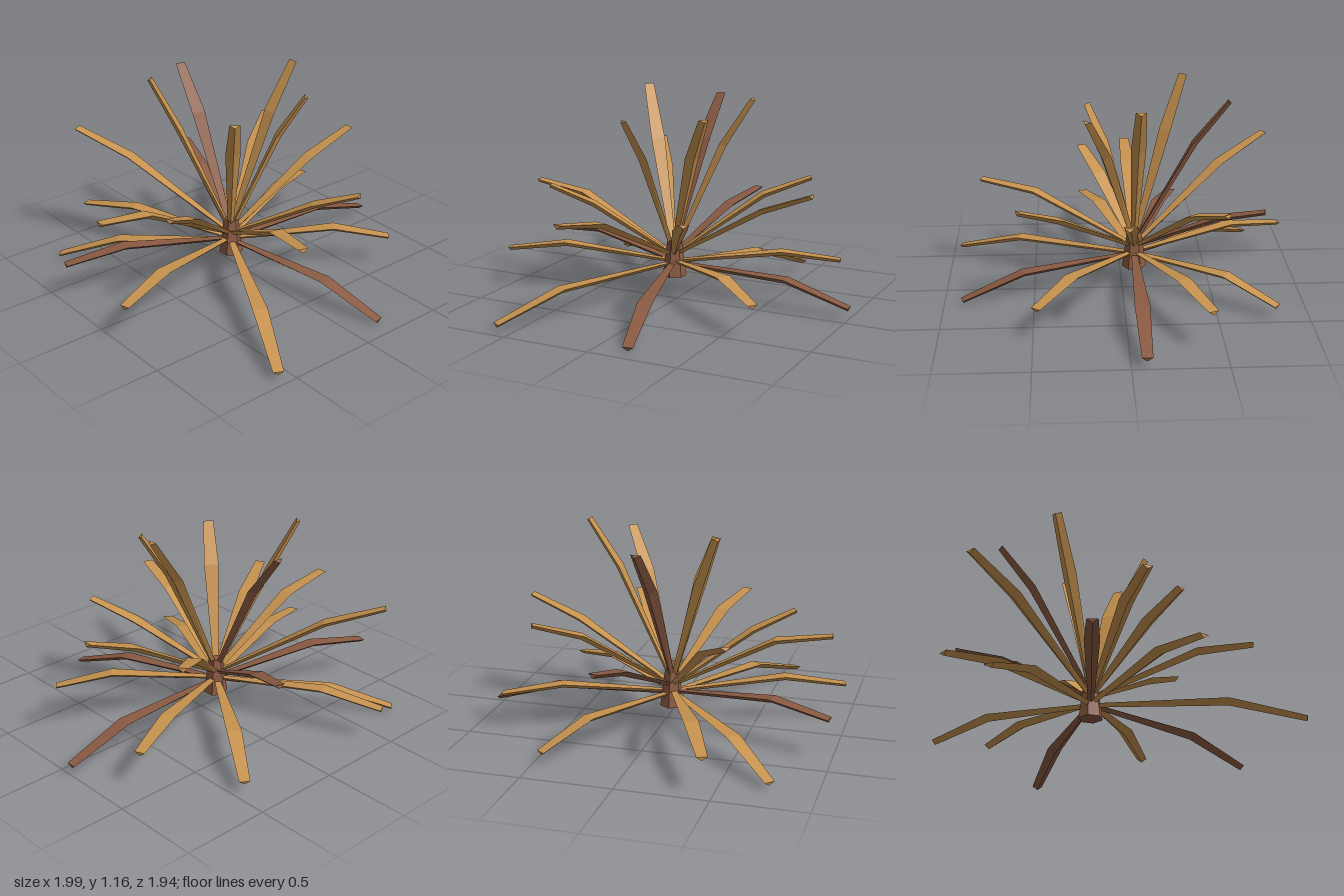
import * as THREE from 'three';

const CX = -0.055, CZ = -0.07; // plant axis

// Leaves by tier: [tipX, tipZ, midY, tipY, brown]
const TIERS = {
  upperLeaf: { baseY: 0.27, mid: 0.64, leaves: [
    [-0.37, -0.37, 0.86, 1.16], [-0.235, 0.195, 0.81, 1.03], [0.26, 0.2, 0.84, 1.07],
    [0.42, -0.08, 0.9, 1.16], [0, -0.59, 0.86, 1.1, true],
  ] },
  middleLeaf: { baseY: 0.24, mid: 0.65, leaves: [
    [-0.54, -0.87, 0.62, 0.75], [-0.94, -0.055, 0.54, 0.59], [-0.69, 0.22, 0.53, 0.635],
    [-0.29, 0.8, 0.52, 0.57], [0.325, 0.575, 0.49, 0.59], [0.8, 0, 0.56, 0.675],
    [0.6, -0.52, 0.57, 0.66], [0.17, -0.78, 0.45, 0.51, true],
  ] },
  lowerLeaf: { baseY: 0.2, mid: 0.65, leaves: [
    [-0.45, -0.96, 0.255, 0.205], [-0.98, -0.355, 0.275, 0.23, true], [-0.985, 0.21, 0.275, 0.23],
    [0.67, 0.48, 0.25, 0.185], [0.82, -0.43, 0.26, 0.22],
  ] },
  droopingLeaf: { baseY: 0.19, mid: 0.65, leaves: [
    [-0.755, -0.79, 0.15, 0.035], [-0.58, 0.95, 0.16, 0.04], [0.175, 0.9, 0.14, 0.016, true],
    [0.995, -0.08, 0.17, 0.058, true], [0.45, -0.82, 0.18, 0.07],
  ] },
};

// Bent blade with a flat top and a keel underneath
function leafGeometry(tipX, tipZ, baseY, midY, tipY, midFraction) {
  const d = new THREE.Vector3(tipX - CX, 0, tipZ - CZ);
  const reach = d.length();
  d.normalize();
  const side = new THREE.Vector3(d.z, 0, -d.x);
  const at = (r, y) => new THREE.Vector3(CX + d.x * r, y, CZ + d.z * r);
  const path = [at(0.01, baseY), at(reach * midFraction, midY), at(reach, tipY)];
  const halfWidths = [0.016, 0.041, 0.029];
  const depths = [0.018, 0.03, 0.022];

  const rings = path.map((p, i) => {
    const tangent = path[Math.min(i + 1, 2)].clone().sub(path[Math.max(i - 1, 0)]).normalize();
    const normal = new THREE.Vector3().crossVectors(tangent, side);
    const point = (w, h) => p.clone().addScaledVector(side, w).addScaledVector(normal, h);
    const top = depths[i] * 0.4;
    return [point(halfWidths[i], top), point(-halfWidths[i], top), point(0, top - depths[i])];
  });

  const pts = [];
  for (let k = 0; k < 2; k++) {
    const a = rings[k], b = rings[k + 1];
    for (let i = 0; i < 3; i++) {
      const j = (i + 1) % 3;
      pts.push(a[i], a[j], b[j], a[i], b[j], b[i]);
    }
  }
  pts.push(...rings[2], ...rings[0].slice().reverse());
  const geometry = new THREE.BufferGeometry().setFromPoints(pts);
  geometry.computeVertexNormals();
  return geometry;
}

export function createModel() {
  const group = new THREE.Group();
  group.name = 'spikyPlant';
  const gold = new THREE.MeshStandardMaterial({ color: 0xc6924f, flatShading: true });
  const brown = new THREE.MeshStandardMaterial({ color: 0x8a5a42, flatShading: true });

  // Tapered six-sided stem
  const stem = new THREE.Mesh(new THREE.CylinderGeometry(0.04, 0.068, 0.21, 6), brown);
  stem.name = 'stem';
  stem.position.set(CX + 0.005, 0.22, CZ);
  group.add(stem);

  // Leaves, tier by tier
  for (const [name, { baseY, mid, leaves }] of Object.entries(TIERS)) {
    const tier = new THREE.Group();
    tier.name = name + 'Tier';
    leaves.forEach(([x, z, midY, tipY, isBrown], i) => {
      const leaf = new THREE.Mesh(leafGeometry(x, z, baseY, midY, tipY, mid), isBrown ? brown : gold);
      leaf.name = `${name}${i + 1}`;
      tier.add(leaf);
    });
    group.add(tier);
  }
  return group;
}
